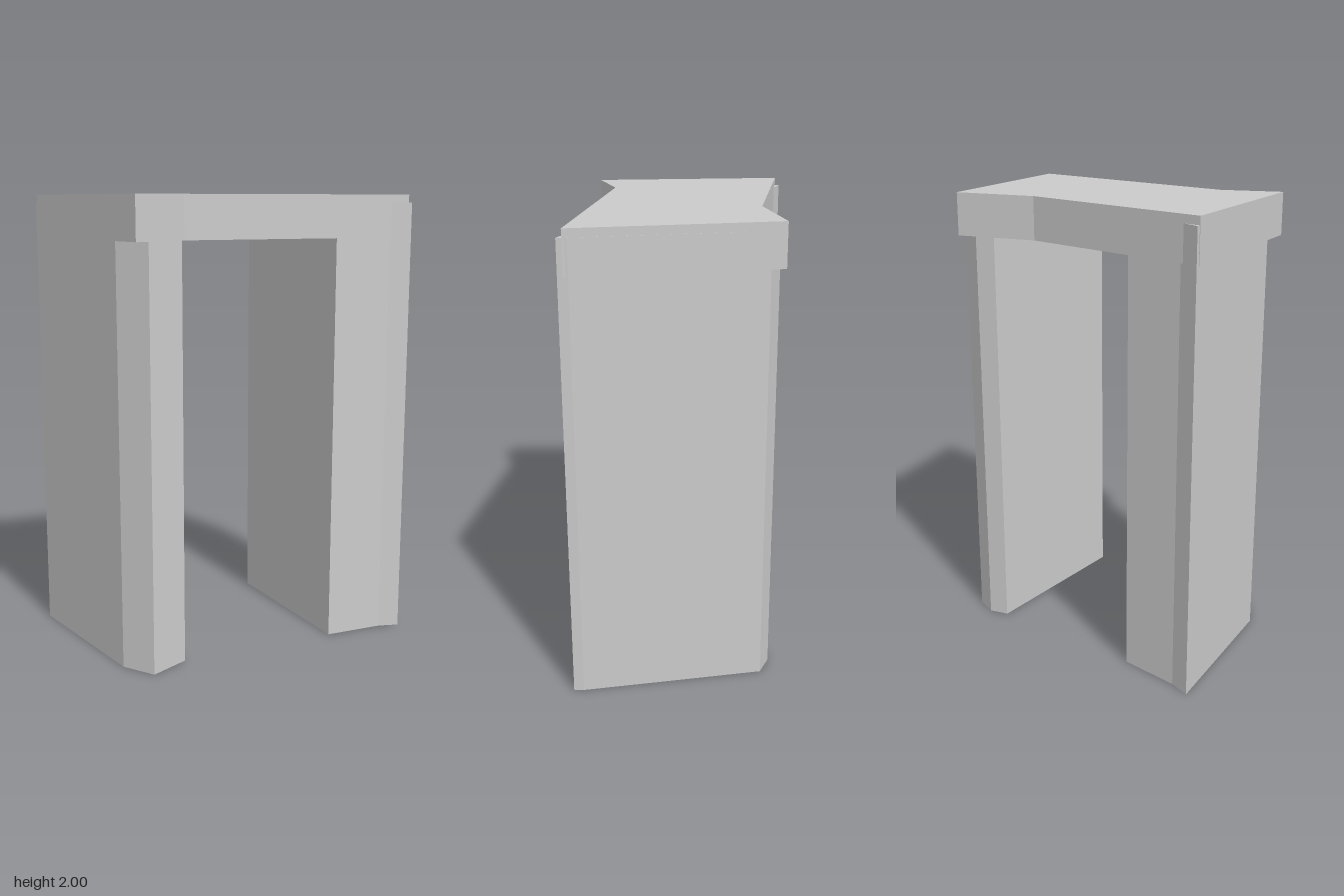
import * as THREE from 'three';

const material = new THREE.MeshStandardMaterial({ color: 0xcccccc, flatShading: true });

// Upright prism from a plan outline of [x, z] corners.
function prism(name, plan, bottom, top) {
  const shape = new THREE.Shape(plan.map(([x, z]) => new THREE.Vector2(x, -z)));
  const geometry = new THREE.ExtrudeGeometry(shape, { depth: top - bottom, bevelEnabled: false });
  geometry.rotateX(-Math.PI / 2);
  geometry.translate(0, bottom, 0);
  const mesh = new THREE.Mesh(geometry, material);
  mesh.name = name;
  return mesh;
}

export function createModel() {
  const group = new THREE.Group();
  group.name = 'stoneGate';

  // Capstone with a shallow notch front and back
  group.add(prism('lintel', [
    [-0.71, -0.423], [-0.6, 0.42], [-0.345, 0.325],
    [0.71, 0.42], [0.52, -0.425], [0.165, -0.335],
  ], 1.815, 2));

  // Upright slabs, each poking slightly past the capstone at its outer corner
  group.add(prism('leftPillar', [
    [-0.71, -0.442], [-0.62, 0.26], [-0.535, 0.395],
    [-0.358, 0.329], [-0.358, -0.384], [-0.62, -0.411],
  ], 0, 1.965));
  group.add(prism('rightPillar', [
    [0.71, 0.442], [0.707, 0.4], [0.617, 0], [0.534, -0.365],
    [0.44, -0.402], [0.355, -0.38], [0.355, 0.386], [0.62, 0.411],
  ], 0, 1.965));

  return group;
}
